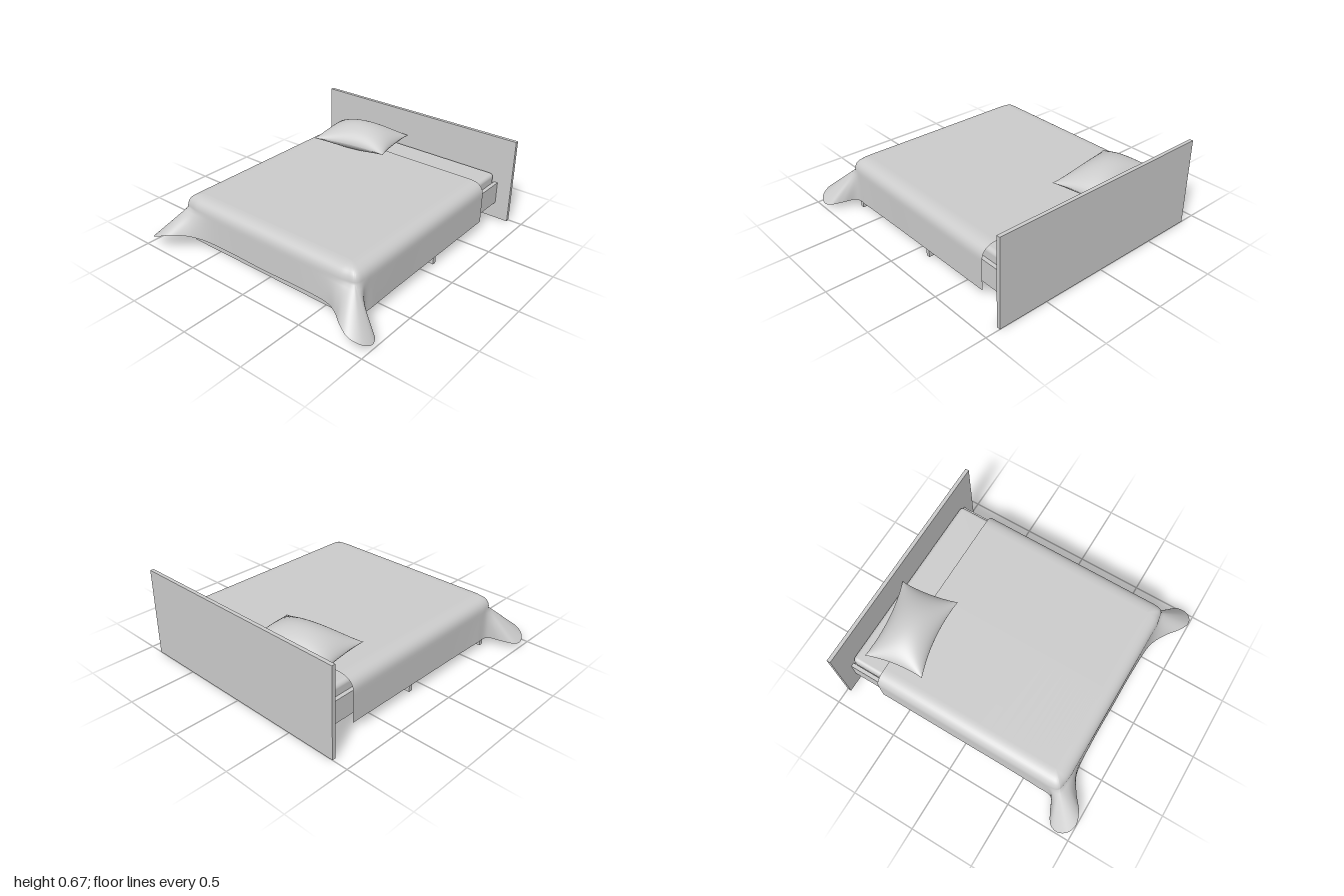
import * as THREE from 'three';
import { RoundedBoxGeometry } from 'three/addons/geometries/RoundedBoxGeometry.js';

const grey = new THREE.MeshStandardMaterial({ color: 0xcccccc });
const cloth = new THREE.MeshStandardMaterial({ color: 0xcccccc, side: THREE.DoubleSide });

// Box given by its [min, max] along each axis
function box(name, [x0, x1], [y0, y1], [z0, z1]) {
  const mesh = new THREE.Mesh(new THREE.BoxGeometry(x1 - x0, y1 - y0, z1 - z0), grey);
  mesh.position.set((x0 + x1) / 2, (y0 + y1) / 2, (z0 + z1) / 2);
  mesh.name = name;
  return mesh;
}

// Draped cover: each column runs from the centre line over the edge to the hem
function blanketGeometry() {
  // edge x, edge z, then hem x, y, z, from the back of one side to the middle of the foot
  const half = [
    [-0.79, -0.72, -0.79, 0.075, -0.72],
    [-0.79, -0.1, -0.79, 0.07, -0.1],
    [-0.79, 0.4, -0.79, 0.065, 0.4],
    [-0.79, 0.62, -0.795, 0.065, 0.62],
    [-0.79, 0.7, -0.805, 0.065, 0.74],
    [-0.785, 0.75, -0.9, 0.055, 0.79],
    [-0.775, 0.77, -0.975, 0.042, 0.84],
    [-0.77, 0.775, -0.995, 0.037, 0.9],
    [-0.765, 0.78, -0.965, 0.065, 0.965],
    [-0.75, 0.785, -0.89, 0.1, 0.996],
    [-0.72, 0.79, -0.8, 0.13, 0.965],
    [-0.66, 0.8, -0.7, 0.13, 0.89],
    [-0.55, 0.8, -0.58, 0.11, 0.825],
    [-0.3, 0.8, -0.3, 0.1, 0.805],
    [0, 0.8, 0, 0.095, 0.805],
  ];
  const mirrored = half.slice(0, -1).reverse().map(([a, b, x, y, z]) => [-a, b, -x, y, z]);
  const stations = [...half, ...mirrored];
  const edge = new THREE.CatmullRomCurve3(stations.map((s) => new THREE.Vector3(s[0], 0.4, s[1])));
  const hem = new THREE.CatmullRomCurve3(stations.map((s) => new THREE.Vector3(s[2], s[3], s[4])));

  const columns = (stations.length - 1) * 6, bend = 10, drop = 10, rows = bend + drop + 2;
  const pos = [], index = [];
  for (let i = 0; i <= columns; i++) {
    const corner = edge.getPoint(i / columns), end = hem.getPoint(i / columns);
    const inner = new THREE.Vector3(THREE.MathUtils.clamp(corner.x, -0.67, 0.67), 0.4, Math.min(corner.z, 0.69));
    const shoulder = new THREE.Vector3(corner.x, 0.3, corner.z);
    const round = new THREE.QuadraticBezierCurve3(inner, corner, shoulder);
    pos.push(0, 0.4, inner.z);
    for (let j = 0; j <= bend; j++) pos.push(...round.getPoint(j / bend).toArray());
    for (let j = 1; j <= drop; j++) pos.push(...shoulder.clone().lerp(end, j / drop).toArray());
    if (i === columns) break;
    for (let j = 0; j < rows - 1; j++) {
      const a = i * rows + j, b = a + rows;
      index.push(a, a + 1, b, a + 1, b + 1, b);
    }
  }
  const geo = new THREE.BufferGeometry();
  geo.setAttribute('position', new THREE.Float32BufferAttribute(pos, 3));
  geo.setIndex(index);
  geo.computeVertexNormals();
  return geo;
}

// One side of the pillow: a sheet puffed up in the middle, with edges drawn in
function pillowSheet(side, height) {
  const geo = new THREE.PlaneGeometry(2, 2, 28, 28).rotateX((-side * Math.PI) / 2);
  const p = geo.attributes.position;
  for (let i = 0; i < p.count; i++) {
    const u = Math.sin((p.getX(i) * Math.PI) / 2), v = Math.sin((p.getZ(i) * Math.PI) / 2);
    const fu = Math.max(0, 1 - u * u), fv = Math.max(0, 1 - v * v);
    p.setXYZ(i, 0.312 * u * (1 - 0.07 * fv), side * height * Math.pow(fu * fv, 0.6), 0.222 * v * (1 - 0.16 * fu));
  }
  geo.computeVertexNormals();
  return new THREE.Mesh(geo, grey);
}

export function createModel() {
  const bed = new THREE.Group();
  bed.name = 'bed';

  // Wooden frame
  const frame = new THREE.Group();
  frame.name = 'frame';
  frame.position.x = 0.005;
  frame.add(box('headboard', [-0.885, 0.885], [0, 0.67], [-1, -0.972]));
  for (const s of [-1, 1]) {
    const x = [0.742 * s, 0.772 * s].sort((a, b) => a - b);
    frame.add(box(s < 0 ? 'rightRail' : 'leftRail', x, [0.13, 0.3], [-0.972, 0.735]));
  }
  frame.add(box('footRail', [-0.742, 0.742], [0.13, 0.3], [0.69, 0.735]));
  frame.add(box('basePanel', [-0.742, 0.742], [0.25, 0.262], [-0.972, 0.69]));
  for (const [name, z] of [['footSupport', 0.72], ['middleSupport', -0.12]]) {
    frame.add(box(name, [-0.772, 0.772], [0, 0.13], [z - 0.015, z + 0.015]));
  }
  bed.add(frame);

  // Mattress
  const mattress = new THREE.Mesh(new RoundedBoxGeometry(1.476, 0.113, 1.705, 4, 0.03), grey);
  mattress.name = 'mattress';
  mattress.position.set(0.005, 0.3185, -0.118);
  bed.add(mattress);

  // Blanket with flared corners at the foot
  const blanket = new THREE.Mesh(blanketGeometry(), cloth);
  blanket.name = 'blanket';
  blanket.position.x = 0.002;
  bed.add(blanket);

  // Pillow, lying slightly askew
  const pillow = new THREE.Group();
  pillow.name = 'pillow';
  pillow.add(pillowSheet(1, 0.125), pillowSheet(-1, 0.09));
  pillow.children[0].name = 'pillowTop';
  pillow.children[1].name = 'pillowUnderside';
  pillow.position.set(-0.335, 0.465, -0.7);
  pillow.rotation.y = 0.15;
  bed.add(pillow);

  return bed;
}
